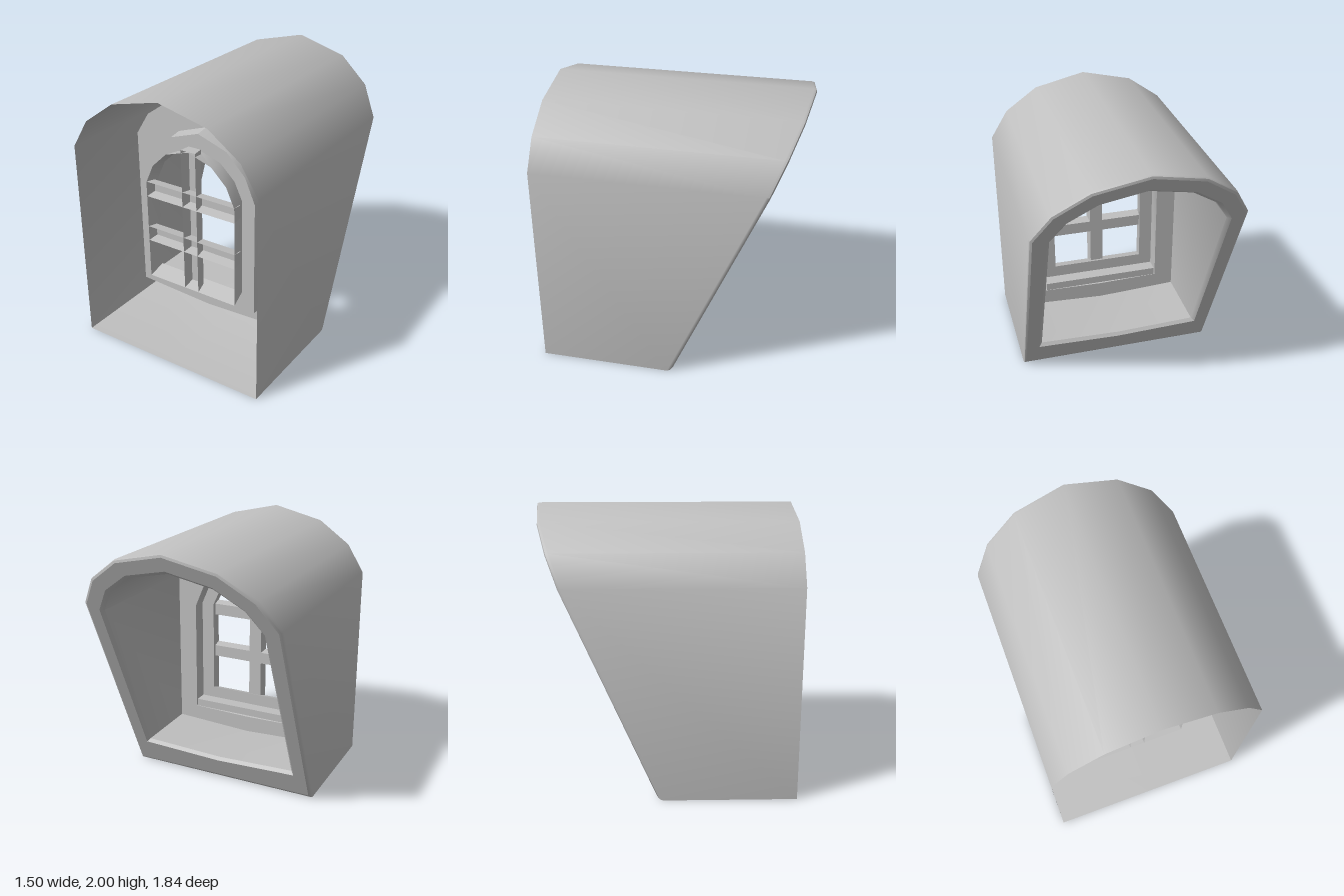
import * as THREE from 'three';
import { toCreasedNormals } from 'three/addons/utils/BufferGeometryUtils.js';

const stone = new THREE.MeshStandardMaterial({ color: 0xbfbfbf, side: THREE.DoubleSide });
stone.name = 'plain grey';

// Arched outline: half width, spring height, crown height, sill height, sill height at the middle.
// z is a number or a rule of y.
function arch(w, spring, top, bottom, mid, z) {
  const half = [[1, 0], [0.827, 0.447], [0.507, 0.81]];
  const pts = [[0, mid], [w, bottom]];
  for (const [a, b] of half) pts.push([a * w, spring + b * (top - spring)]);
  pts.push([0, top]);
  for (const [a, b] of [...half].reverse()) pts.push([-a * w, spring + b * (top - spring)]);
  pts.push([-w, bottom]);
  return pts.map(([x, y]) => [x, y, typeof z === 'function' ? z(y) : z]);
}

// Skin between successive outlines, running from front to back
function loft(name, loops, crease = 0.9) {
  const n = loops[0].length;
  const index = [];
  for (let r = 0; r < loops.length - 1; r++) {
    for (let i = 0; i < n; i++) {
      const j = (i + 1) % n;
      const a = r * n + i, b = r * n + j, c = a + n, d = b + n;
      index.push(a, b, c, b, d, c);
    }
  }
  const geo = new THREE.BufferGeometry();
  geo.setAttribute('position', new THREE.Float32BufferAttribute(loops.flat(2), 3));
  geo.setIndex(index);
  const mesh = new THREE.Mesh(toCreasedNormals(geo, crease), stone);
  mesh.name = name;
  return mesh;
}

// Hollow glazing bar, open to the front and narrowing to the back
function channel(name, w, h, y, vertical) {
  const depth = 0.08;
  const geo = new THREE.BoxGeometry(w, h, depth);
  const idx = Array.from(geo.index.array);
  idx.splice(24, 6); // drop the front face
  geo.setIndex(idx);
  geo.clearGroups();
  const p = geo.attributes.position;
  for (let i = 0; i < p.count; i++) {
    if (p.getZ(i) > 0) continue;
    if (vertical) p.setX(i, p.getX(i) * 0.85);
    else p.setY(i, p.getY(i) * 0.8);
  }
  geo.computeVertexNormals();
  const mesh = new THREE.Mesh(geo, stone);
  mesh.name = name;
  mesh.position.set(0, y, 0.62 - depth / 2);
  return mesh;
}

export function createModel() {
  const model = new THREE.Group();
  model.name = 'archedWindowTunnel';

  // Slanted plane of the back opening, shifted forward by d
  const slant = (d) => (y) => -0.057 - 0.4356 * y + d;
  const rimOuter = arch(0.73, 1.52, 1.975, 0.028, 0.028, slant(0));
  const rimInner = arch(0.635, 1.485, 1.875, 0.215, 0.185, slant(0));
  const wallEdge = arch(0.62, 1.48, 1.86, 0.235, 0.205, 0.4);
  const recessEdge = arch(0.47, 1.23, 1.66, 0.345, 0.335, 0.4);
  const frameOuter = arch(0.462, 1.23, 1.645, 0.36, 0.35, 0.5);
  const frameInner = arch(0.36, 1.23, 1.53, 0.5, 0.5, 0.5);

  // Outer shell with its rounded back edge
  model.add(loft('outerShell', [
    arch(0.75, 1.53, 2, 0, 0, 0.92),
    arch(0.75, 1.53, 2, 0, 0, slant(0.03)),
    arch(0.745, 1.528, 1.993, 0.008, 0.008, slant(0.01)),
    rimOuter,
  ]));
  model.add(loft('backRim', [rimOuter, rimInner]));

  // Inner tunnel and the wall that holds the window
  model.add(loft('innerTunnel', [
    rimInner,
    arch(0.612, 1.478, 1.85, 0.24, 0.21, slant(0.03)),
    wallEdge,
  ]));
  model.add(loft('windowWall', [wallEdge, recessEdge]));

  // Stepped window frame
  model.add(loft('frameRecess', [recessEdge, frameOuter], 0.6));
  model.add(loft('windowFrame', [frameOuter, frameInner], 0.6));
  model.add(loft('frameReveal', [
    frameInner,
    arch(0.375, 1.23, 1.55, 0.455, 0.455, 0.62),
  ], 0.6));

  // Sill at the foot of the recess
  const sill = new THREE.Mesh(new THREE.BoxGeometry(0.92, 0.06, 0.1), stone);
  sill.name = 'sill';
  sill.position.set(0, 0.38, 0.445);
  model.add(sill);

  // Glazing bars
  model.add(channel('verticalBar', 0.12, 1.1, 1.005, true));
  for (const y of [0.815, 1.177]) {
    model.add(channel('horizontalBar', 0.75, 0.115, y, false));
  }
  return model;
}
